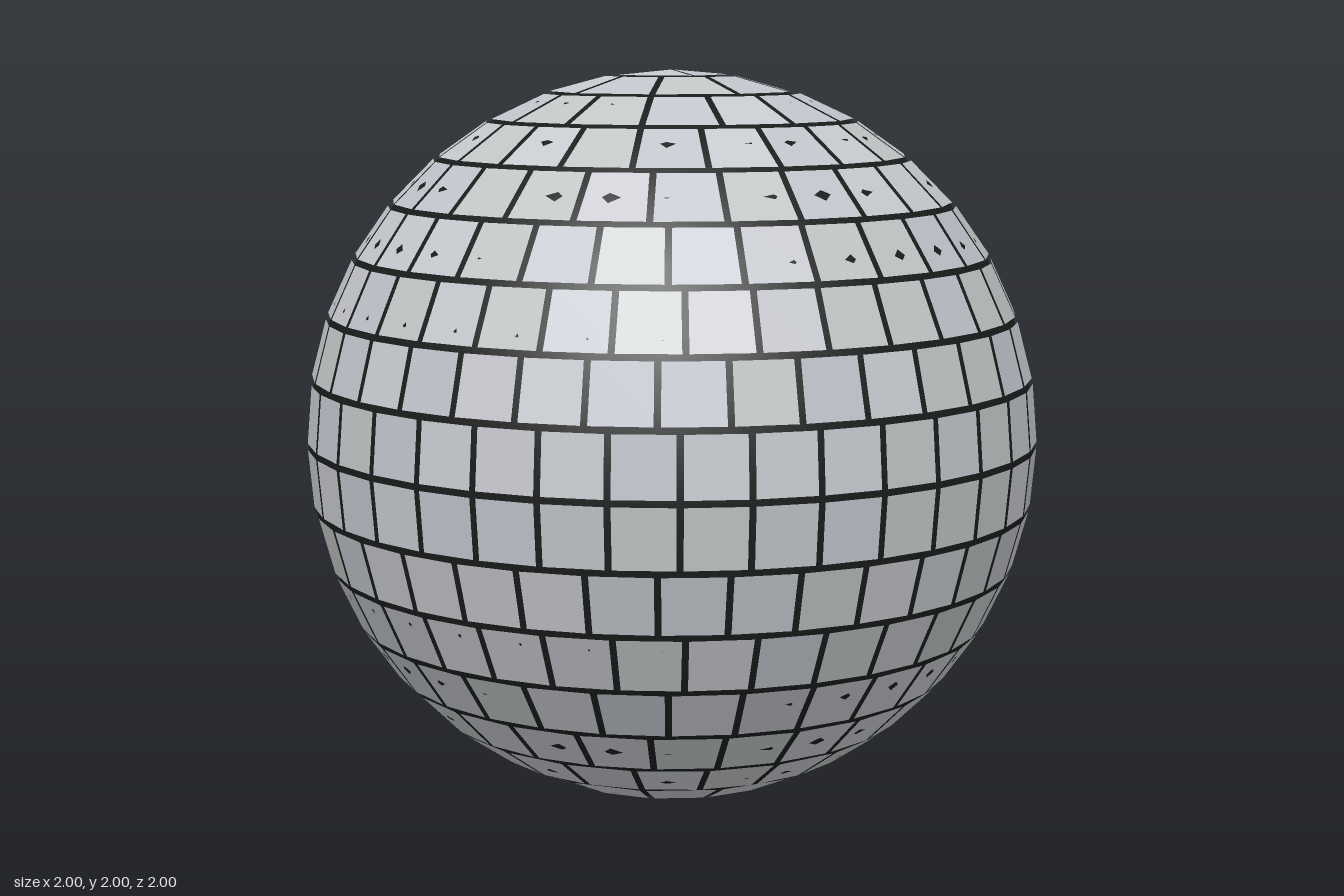
import * as THREE from 'three';

const ROWS = 18;          // bands of latitude
const TILE_SCALE = 0.9;   // each tile shrinks about its middle to leave a gap
const CORE_RADIUS = 0.994;

const paint = (name, color) => {
  const m = new THREE.MeshStandardMaterial({ color });
  m.name = name;
  return m;
};

// point on the unit sphere
const onSphere = (lat, lon) => new THREE.Vector3(
  Math.cos(lat) * Math.cos(lon), Math.sin(lat), Math.cos(lat) * Math.sin(lon));

// repeatable choice of tint for a tile
const pick = (row, i, n) => {
  const s = Math.sin(row * 12.9898 + i * 78.233) * 43758.5453;
  return Math.floor((s - Math.floor(s)) * n);
};

// flat mirror tile between two latitudes and two longitudes
function addTile(out, lat0, lat1, lon0, lon1) {
  const corners = [onSphere(lat0, lon0), onSphere(lat1, lon0), onSphere(lat1, lon1), onSphere(lat0, lon1)];
  const middle = new THREE.Vector3();
  corners.forEach((c) => middle.addScaledVector(c, 0.25));
  corners.forEach((c) => c.sub(middle).multiplyScalar(TILE_SCALE).add(middle));
  const normal = middle.clone().normalize();
  for (const k of [0, 1, 2, 0, 2, 3]) {
    out.positions.push(...corners[k].toArray());
    out.normals.push(...normal.toArray());
  }
}

export function createModel() {
  const group = new THREE.Group();
  group.name = 'mirrorBall';
  const ball = new THREE.Group();
  ball.name = 'ball';
  ball.position.y = 1;
  group.add(ball);

  // dark core seen in the gaps between tiles
  const core = new THREE.Mesh(
    new THREE.SphereGeometry(CORE_RADIUS, 32, 16), paint('darkGrout', 0x1a1c1c));
  core.name = 'core';
  ball.add(core);

  // mirror tiles, in three close tints of silver
  const tints = [
    paint('silver', 0xc6c9ce), paint('coolSilver', 0xc0c4cb), paint('greySilver', 0xc1c5c5)];
  const sets = tints.map(() => ({ positions: [], normals: [] }));
  const step = Math.PI / ROWS;
  for (let row = 0; row < ROWS; row++) {
    const lat0 = -Math.PI / 2 + row * step;
    const lat1 = lat0 + step;
    const count = Math.max(4, Math.round(2 * ROWS * Math.cos(lat0 + step / 2)));
    const width = 2 * Math.PI / count;
    for (let i = 0; i < count; i++) {
      addTile(sets[pick(row, i, tints.length)], lat0, lat1, i * width, (i + 1) * width);
    }
  }
  sets.forEach((set, k) => {
    const geometry = new THREE.BufferGeometry();
    geometry.setAttribute('position', new THREE.Float32BufferAttribute(set.positions, 3));
    geometry.setAttribute('normal', new THREE.Float32BufferAttribute(set.normals, 3));
    const tiles = new THREE.Mesh(geometry, tints[k]);
    tiles.name = tints[k].name + 'Tiles';
    ball.add(tiles);
  });
  return group;
}
